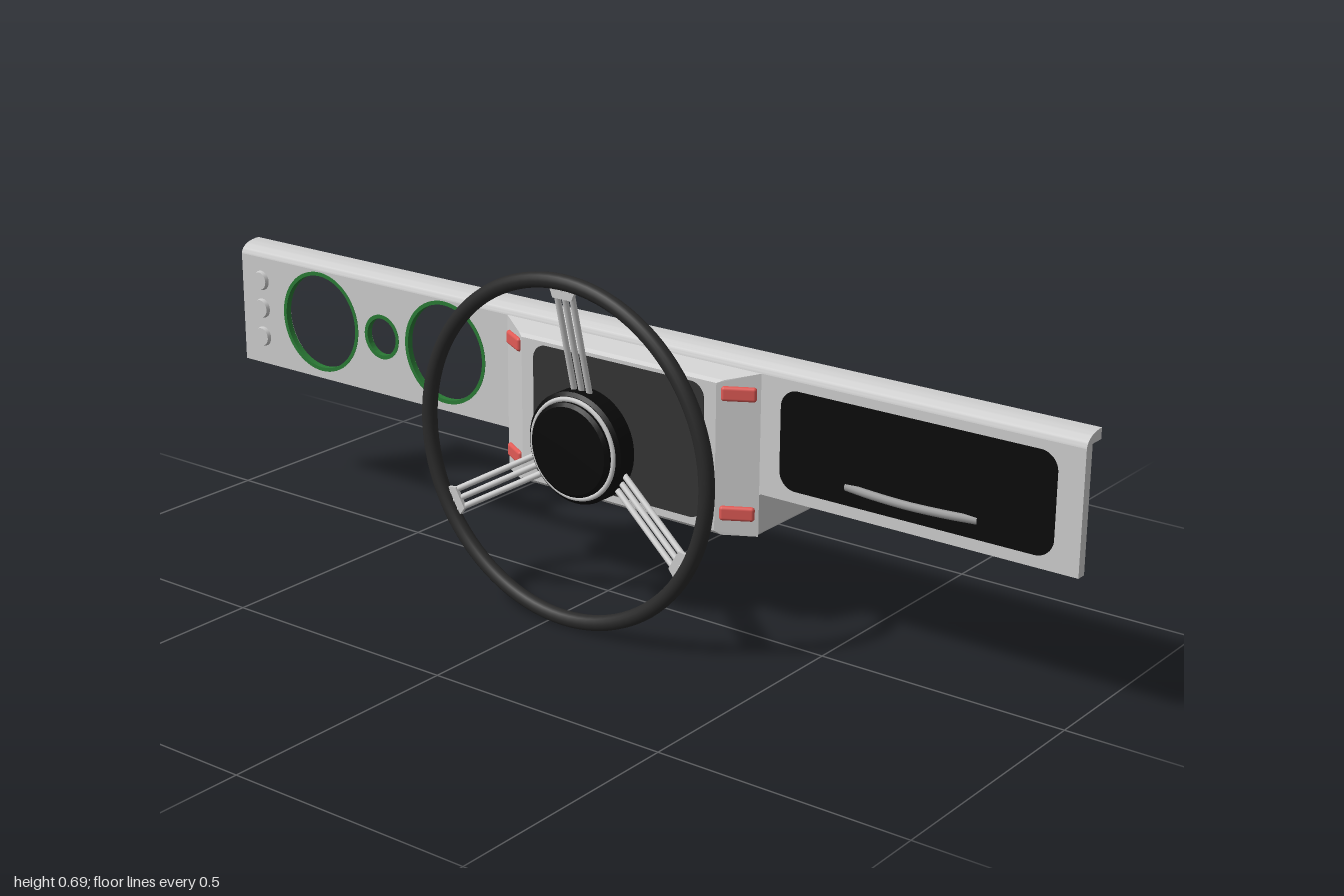
import * as THREE from 'three';
import { RoundedBoxGeometry } from 'three/addons/geometries/RoundedBoxGeometry.js';
import { ConvexGeometry } from 'three/addons/geometries/ConvexGeometry.js';
import { toCreasedNormals } from 'three/addons/utils/BufferGeometryUtils.js';

const mat = (color) => new THREE.MeshStandardMaterial({ color });
const grey = mat(0xcccccc), black = mat(0x0a0a0a), rubber = mat(0x2a2a2a);
const charcoal = mat(0x333333), red = mat(0xe05a55), green = mat(0x2a7a35), handleGrey = mat(0x999999);

function add(parent, name, geometry, material, x = 0, y = 0, z = 0) {
  const mesh = new THREE.Mesh(geometry, material);
  mesh.name = name;
  mesh.position.set(x, y, z);
  parent.add(mesh);
  return mesh;
}

function extrude(shape, depth, curveSegments = 32) {
  return toCreasedNormals(new THREE.ExtrudeGeometry(shape, { depth, bevelEnabled: false, curveSegments }), 0.6);
}

function roundedRect(x0, y0, x1, y1, r) {
  const s = new THREE.Shape();
  s.absarc(x1 - r, y1 - r, r, 0, Math.PI / 2);
  s.absarc(x0 + r, y1 - r, r, Math.PI / 2, Math.PI);
  s.absarc(x0 + r, y0 + r, r, Math.PI, Math.PI * 1.5);
  s.absarc(x1 - r, y0 + r, r, Math.PI * 1.5, Math.PI * 2);
  s.closePath();
  return s;
}

function circlePath(x, y, r) {
  return new THREE.Path().absarc(x, y, r, 0, Math.PI * 2, true);
}

// Convex solid from rectangles [x0, x1, y0, y1, z]
function hull(rects) {
  const points = [];
  for (const [x0, x1, y0, y1, z] of rects)
    for (const x of [x0, x1]) for (const y of [y0, y1]) points.push(new THREE.Vector3(x, y, z));
  return new ConvexGeometry(points);
}

function rod(parent, name, a, b, radius, material) {
  const from = new THREE.Vector3(...a), to = new THREE.Vector3(...b);
  const dir = to.clone().sub(from);
  const mesh = add(parent, name, new THREE.CylinderGeometry(radius, radius, dir.length(), 12), material);
  mesh.position.copy(from).add(to).multiplyScalar(0.5);
  mesh.quaternion.setFromUnitVectors(new THREE.Vector3(0, 1, 0), dir.normalize());
}

function buildDashboard() {
  const dash = new THREE.Group();
  dash.name = 'dashboard';

  // Front panel with three gauge openings
  const gauges = [[-0.773, 0.107], [-0.6, 0.047], [-0.428, 0.107]];
  const panel = new THREE.Shape();
  panel.moveTo(-1, 0.277).lineTo(1, 0.277).lineTo(1, 0.51).lineTo(-1, 0.51).closePath();
  for (const [x, r] of gauges) panel.holes.push(circlePath(x, 0.4, r));
  add(dash, 'panel', extrude(panel, 0.02), grey, 0, 0, -0.035);

  // Top edge rolling backwards; profile x is -z
  const lip = new THREE.Shape();
  lip.moveTo(0.015, 0.51).bezierCurveTo(0.017, 0.526, 0.035, 0.535, 0.065, 0.535);
  lip.lineTo(0.065, 0.514).lineTo(0.035, 0.514).lineTo(0.035, 0.51).closePath();
  add(dash, 'topLip', extrude(lip, 2, 12), grey, -1, 0, 0).rotation.y = Math.PI / 2;

  // Gauge rims
  for (const [x, r] of gauges) {
    const ring = new THREE.Shape().absarc(0, 0, r, 0, Math.PI * 2);
    ring.holes.push(circlePath(0, 0, r - 0.008));
    add(dash, 'gaugeRim', extrude(ring, 0.013), green, x, 0.4, -0.027);
  }

  // Push buttons
  for (const y of [0.337, 0.399, 0.46]) {
    const button = add(dash, 'button', new THREE.CylinderGeometry(0.019, 0.022, 0.012, 24), grey, -0.944, y, -0.013);
    button.rotation.x = Math.PI / 2;
  }

  // Glove box door and bowed handle
  add(dash, 'gloveBoxDoor', extrude(roundedRect(0.387, 0.3, 0.95, 0.492, 0.035), 0.004), black, 0, 0, -0.017);
  const bow = new THREE.CatmullRomCurve3([[0.53, -0.018], [0.59, -0.008], [0.665, -0.003], [0.74, -0.008], [0.8, -0.018]]
    .map(([x, z]) => new THREE.Vector3(x, 0.334, z)));
  add(dash, 'gloveBoxHandle', new THREE.TubeGeometry(bow, 32, 0.008, 10), handleGrey);
  return dash;
}

function buildConsole() {
  const unit = new THREE.Group();
  unit.name = 'instrumentConsole';

  // Tapered housing and the box running back below the panel
  add(unit, 'housing', hull([
    [-0.262, 0.342, 0.192, 0.51, -0.015],
    [-0.205, 0.282, 0.192, 0.494, 0.018],
    [-0.193, 0.27, 0.199, 0.488, 0.025],
  ]), grey);
  add(unit, 'lowerBox', hull([
    [-0.262, 0.342, 0.198, 0.275, -0.015], [-0.256, 0.336, 0.192, 0.275, -0.015],
    [-0.262, 0.342, 0.198, 0.275, -0.197], [-0.256, 0.336, 0.192, 0.275, -0.197],
  ]), grey);
  add(unit, 'screen', extrude(roundedRect(-0.163, 0.214, 0.243, 0.481, 0.03), 0.004), charcoal, 0, 0, 0.0225);

  // Red lamps on the slanted sides
  for (const side of [-1, 1]) for (const y of [0.236, 0.469]) {
    const lamp = add(unit, 'lamp', new RoundedBoxGeometry(0.066, 0.028, 0.014, 3, 0.006), red, 0.04 + side * 0.267, y, 0.005);
    lamp.rotation.y = side * 0.52;
  }
  return unit;
}

function buildWheel() {
  const wheel = new THREE.Group();
  wheel.name = 'steeringWheel';
  wheel.position.set(0.036, 0.344, 0);
  add(wheel, 'rim', new THREE.TorusGeometry(0.329, 0.015, 16, 96), rubber, 0, 0, 0.182);

  // Hub: turned body, bright ring and raised cap
  const lathe = (pts) => toCreasedNormals(
    new THREE.LatheGeometry(pts.map(([r, z]) => new THREE.Vector2(r, z)), 64).rotateX(Math.PI / 2), 0.5);
  add(wheel, 'hub', lathe([[0, 0.107], [0.109, 0.107], [0.109, 0.146], [0.102, 0.152], [0, 0.152]]), black);
  add(wheel, 'hubRing', new THREE.TorusGeometry(0.096, 0.005, 10, 64), grey, 0, 0, 0.152);
  add(wheel, 'hubCap', lathe([[0, 0.15], [0.092, 0.15], [0.092, 0.16], [0.085, 0.166], [0, 0.166]]), black);

  // Three spokes of three rods, each ending in a flared clip
  const clip = new THREE.Shape();
  clip.moveTo(-0.022, 0.296).lineTo(0.022, 0.296).lineTo(0.032, 0.32).lineTo(-0.032, 0.32).closePath();
  for (let i = 0; i < 3; i++) {
    const spoke = new THREE.Group();
    spoke.name = 'spoke';
    spoke.rotation.z = (i * Math.PI * 2) / 3;
    for (const x of [-0.018, 0, 0.018])
      rod(spoke, 'spokeRod', [x, 0.095, 0.122], [x, 0.318, 0.178], 0.006, grey);
    add(spoke, 'spokeClip', extrude(clip, 0.008), grey, 0, 0, 0.174);
    wheel.add(spoke);
  }
  return wheel;
}

export function createModel() {
  const model = new THREE.Group();
  model.name = 'dashboardWithSteeringWheel';
  model.add(buildDashboard(), buildConsole(), buildWheel());
  return model;
}
